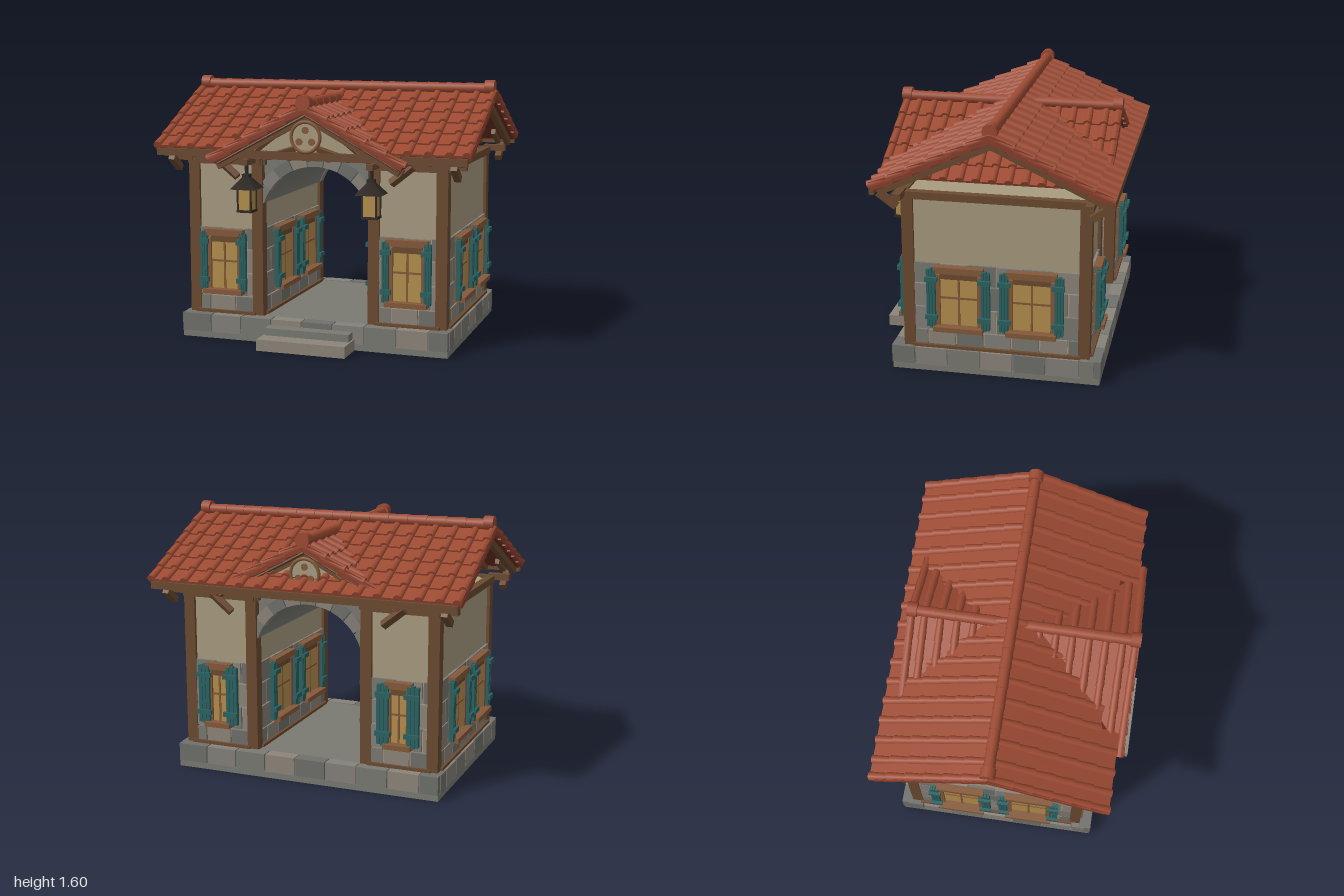
import * as THREE from 'three';
import { mergeGeometries } from 'three/addons/utils/BufferGeometryUtils.js';

const mat = (color, opts = {}) => new THREE.MeshStandardMaterial({ color, ...opts });
const tile = mat(0x9c4a32), tileDark = mat(0x8a3f2b), deckMat = mat(0x6b2f20), wood = mat(0x6b4a30), lightWood = mat(0x85593a);
const plaster = mat(0xa89b80), glass = mat(0xb48f4c), teal = mat(0x2b6262), iron = mat(0x2f2a26);
const stones = [mat(0x7a7a72), mat(0x85807a), mat(0x6f706b), mat(0x8c857a)];
const ZC = -0.055; // middle of the house in z

function add(parent, name, geo, material, x = 0, y = 0, z = 0) {
  const m = new THREE.Mesh(geo, material);
  m.name = name;
  m.position.set(x, y, z);
  parent.add(m);
  return m;
}
const box = (p, name, material, w, h, d, x, y, z) => add(p, name, new THREE.BoxGeometry(w, h, d), material, x, y, z);
function beam(p, name, a, b, w, material = wood) {
  const A = new THREE.Vector3(...a), B = new THREE.Vector3(...b), d = B.clone().sub(A);
  const m = box(p, name, material, w, w, d.length(), 0, 0, 0);
  m.position.copy(A).add(B).multiplyScalar(0.5);
  m.quaternion.setFromUnitVectors(new THREE.Vector3(0, 0, 1), d.normalize());
  return m;
}
function group(p, name, x = 0, y = 0, z = 0, ry = 0) {
  const g = new THREE.Group();
  g.name = name;
  g.position.set(x, y, z);
  g.rotation.y = ry;
  p.add(g);
  return g;
}

// Row of stone blocks with open joints, centred on x
function stoneRow(p, len, y0, y1, depth, z, size, shift) {
  let a = -len / 2, i = 0;
  while (a < len / 2 - 0.01) {
    let b = Math.min(len / 2, a + (i === 0 && shift ? size * 0.55 : size));
    if (len / 2 - b < size * 0.3) b = len / 2;
    box(p, 'stoneBlock', stones[(i * 3 + Math.round(y0 * 50)) % 4], b - a - 0.01, y1 - y0 - 0.008, depth, (a + b) / 2, (y0 + y1) / 2, z);
    a = b;
    i++;
  }
}

// Window with frame, glazing bars, lintel, sill and a pair of shutters
function windowUnit(p, x, w, lintelW, shutterX, shutterW) {
  const g = group(p, 'window', x);
  box(g, 'windowPane', glass, w, 0.3, 0.03, 0, 0.455, 0.015);
  for (const s of [-1, 1]) box(g, 'windowFrame', lightWood, 0.025, 0.34, 0.045, s * (w / 2 + 0.01), 0.46, 0.022);
  box(g, 'lintel', lightWood, lintelW, 0.04, 0.06, 0, 0.665, 0.03);
  box(g, 'topFrame', wood, w, 0.04, 0.04, 0, 0.625, 0.02);
  box(g, 'sill', lightWood, lintelW, 0.03, 0.085, 0, 0.295, 0.042);
  box(g, 'glazingBar', lightWood, 0.012, 0.3, 0.02, 0, 0.455, 0.025);
  box(g, 'glazingBar', lightWood, w, 0.012, 0.02, 0, 0.485, 0.025);
  for (const s of [-1, 1]) {
    const sh = group(g, 'shutter', s * shutterX, 0.485, 0.05);
    for (const k of [-1, 0, 1]) box(sh, 'shutterPlank', teal, shutterW / 3 - 0.003, k ? 0.365 : 0.38, 0.028, k * shutterW / 3, 0, 0);
    for (const y of [-0.115, 0.125]) box(sh, 'shutterBar', teal, shutterW + 0.02, 0.028, 0.02, -s * 0.005, y, 0.02);
  }
}

// Wall face: stone wainscot plus windows, facing local +z
function wallFace(p, name, len, x, z, ry, windows) {
  const g = group(p, name, x, 0, z, ry);
  [0.15, 0.26, 0.41, 0.56, 0.695].forEach((y, i, a) => i && stoneRow(g, len, a[i - 1], y, 0.03, 0, 0.17, i % 2));
  box(g, 'sillBeam', wood, len, 0.018, 0.05, 0, 0.159, 0.01);
  box(g, 'wallPlate', wood, len + 0.08, 0.045, 0.05, 0, 1.115, 0.01);
  windows.forEach(w => windowUnit(g, ...w));
}

// Tiled roof slope: ridge along x, running down toward local +z
function slope(p, name, pos, ry, angle, width, length, cols, rows, skip) {
  const outer = group(p, name, ...pos, ry), g = group(outer, 'slope');
  g.rotation.x = angle;
  box(g, 'roofDeck', deckMat, width - 0.04, 0.025, length, 0, -0.012, length / 2);
  const cw = width / cols, rl = length / rows, geos = [];
  for (let r = 0; r < rows; r++) for (let c = 0; c <= cols; c++) {
    const x = -width / 2 + c * cw, z = (r + 0.5) * rl;
    if (skip && skip(x, r)) continue;
    if (c < cols) {
      geos.push(new THREE.BoxGeometry(cw, 0.014, rl + 0.03).rotateX(-0.08).translate(x + cw / 2, 0.012, z + 0.005));
    }
    const inset = c === 0 ? 0.022 : c === cols ? -0.022 : 0;
    geos.push(new THREE.CylinderGeometry(0.027, 0.021, rl + 0.03, 8, 1, false, Math.PI / 2, Math.PI)
      .rotateX(Math.PI / 2 - 0.08).translate(x + inset, 0.014, z + 0.005));
  }
  add(g, 'roofTiles', mergeGeometries(geos), tile);
  for (const s of [-1, 1]) {
    // verge tiles and bargeboard
    for (let r = 0; r < rows; r++) {
      const v = box(g, 'vergeTile', tileDark, 0.022, 0.05, rl + 0.015, s * (width / 2 - 0.011), 0.006, (r + 0.5) * rl);
      v.rotation.x = -0.08;
    }
    box(g, 'bargeboard', wood, 0.035, 0.045, length, s * (width / 2 - 0.06), -0.042, length / 2);
  }
  // rafters showing under the eave
  for (let c = 1; c < cols; c++) box(g, 'rafter', wood, 0.028, 0.035, 0.2, -width / 2 + c * cw, -0.04, length - 0.09);
  return g;
}

// Overlapping ridge tiles along local x, with round end caps
function ridge(p, name, pos, ry, len, n, r) {
  const g = group(p, name, ...pos, ry), step = (len - 0.1) / n;
  for (let i = 0; i < n; i++)
    add(g, 'ridgeTile', new THREE.CylinderGeometry(r, r * 0.88, step + 0.01, 12).rotateZ(Math.PI / 2), tile, -len / 2 + 0.05 + (i + 0.5) * step);
  for (const s of [-1, 1])
    add(g, 'ridgeCap', new THREE.CylinderGeometry(0.045, 0.045, 0.06, 14).rotateZ(Math.PI / 2), tile, s * (len / 2 - 0.03), 0.008);
}

// Cross gable end: plaster triangle, timber frame and round ornament
function gableEnd(p, z, ry) {
  const g = group(p, 'gableEnd', 0, 0, z, ry), tri = new THREE.Shape();
  tri.moveTo(-0.49, 1.17).lineTo(0.49, 1.17).lineTo(0, 1.435);
  add(g, 'gableWall', new THREE.ExtrudeGeometry(tri, { depth: 0.02, bevelEnabled: false }), plaster, 0, 0, -0.02);
  for (const s of [-1, 1]) {
    beam(g, 'gableRafter', [s * 0.57, 1.12, 0.02], [0, 1.425, 0.02], 0.035);
    beam(g, 'gableStrut', [s * 0.33, 1.2, 0.01], [s * 0.2, 1.3, 0.01], 0.03, lightWood);
    beam(g, 'gableStrut', [s * 0.07, 1.22, 0.01], [s * 0.2, 1.18, 0.01], 0.03);
  }
  box(g, 'kingPost', wood, 0.035, 0.26, 0.035, 0, 1.3, 0);
  box(g, 'gableTie', wood, 1.16, 0.045, 0.035, 0, 1.175, 0.012);
  const disc = (name, r, m, x, y, zz) => add(g, name, new THREE.CylinderGeometry(r, r, 0.02, 24).rotateX(Math.PI / 2), m, x, y, zz);
  disc('ornamentDisc', 0.09, plaster, 0, 1.29, 0.022);
  add(g, 'ornamentRing', new THREE.TorusGeometry(0.09, 0.011, 8, 28), lightWood, 0, 1.29, 0.03);
  for (let i = 0; i < 3; i++) {
    const a = Math.PI / 2 + i * Math.PI * 2 / 3;
    disc('ornamentBoss', 0.021, lightWood, 0.046 * Math.cos(a), 1.285 + 0.046 * Math.sin(a), 0.028);
  }
}

function lantern(p, x) {
  const g = group(p, 'lantern', x, 0, 0.62);
  box(g, 'lanternGlass', glass, 0.08, 0.14, 0.08, 0, 0.9, 0);
  for (const a of [-1, 1]) for (const b of [-1, 1]) box(g, 'lanternBar', iron, 0.01, 0.15, 0.01, a * 0.042, 0.9, b * 0.042);
  box(g, 'lanternBase', iron, 0.098, 0.015, 0.098, 0, 0.827, 0);
  add(g, 'lanternRoof', new THREE.CylinderGeometry(0.025, 0.112, 0.075, 4).rotateY(Math.PI / 4), iron, 0, 1.0, 0);
  box(g, 'lanternFinial', iron, 0.045, 0.02, 0.045, 0, 1.042, 0);
  add(g, 'lanternStem', new THREE.CylinderGeometry(0.012, 0.012, 0.08, 8), iron, 0, 1.08, 0);
  box(g, 'lanternArm', wood, 0.04, 0.035, 0.17, 0, 1.125, -0.045);
}

export function createModel() {
  const root = new THREE.Group();
  root.name = 'gatehouse';

  // Plinth and steps
  const base = group(root, 'plinth', 0, 0, -0.0525);
  box(base, 'plinthCore', stones[0], 1.69, 0.145, 1.25, 0, 0.0725, 0);
  box(base, 'plinthFoot', stones[0], 1.71, 0.038, 1.265, 0, 0.019, 0);
  for (let i = 0; i < 4; i++) {
    const side = group(base, 'plinthEdge', 0, 0, 0, i * Math.PI / 2);
    stoneRow(side, i % 2 ? 1.2 : 1.72, 0.035, 0.154, 0.08, (i % 2 ? 0.86 : 0.6375) - 0.04, 0.2, i % 2);
  }
  box(root, 'lowerStep', stones[3], 0.56, 0.07, 0.22, 0, 0.035, 0.665);
  box(root, 'upperStep', stones[0], 0.54, 0.115, 0.12, 0, 0.0575, 0.605);

  // Two rooms either side of the passage
  const sideWindows = [-0.22, 0.22].map(x => [x, 0.23, 0.3, 0.165, 0.055]);
  for (const s of [-1, 1]) {
    const room = group(root, 'room');
    box(room, 'plasterWalls', plaster, 0.45, 0.98, 1.09, s * 0.585, 0.635, ZC);
    wallFace(room, 'outerWall', 1.02, s * 0.81, ZC, s * Math.PI / 2, sideWindows);
    wallFace(room, 'passageWall', 1.02, s * 0.36, ZC, -s * Math.PI / 2, sideWindows);
    wallFace(room, 'frontWall', 0.4, s * 0.59, 0.49, 0, [[0, 0.18, 0.26, 0.13, 0.045]]);
    wallFace(room, 'backWall', 0.4, s * 0.59, -0.6, Math.PI, [[0, 0.1, 0.17, 0.095, 0.075]]);
    for (const x of [0.375, 0.795]) for (const z of [0.475, -0.585])
      box(room, 'cornerPost', wood, 0.07, 0.98, 0.07, s * x, 0.635, z);
    // Eave braces and brackets
    for (const e of [-1, 1]) {
      const z = d => ZC + e * d;
      beam(room, 'eaveBrace', [s * 0.89, 1.06, z(0.57)], [s * 0.89, 1.14, z(0.68)], 0.04);
      box(room, 'plateEnd', wood, 0.14, 0.04, 0.05, s * 0.87, 1.13, z(0.56));
      beam(room, 'gableBrace', [s * 0.49, 1.02, z(0.59)], [s * 0.62, 1.125, z(0.59)], 0.04);
    }
    lantern(root, s * 0.395);
  }

  // Stone vault over the passage with voussoir arches at both ends
  const vault = group(root, 'vault'), a0 = 0.33, cy = 0.74, R = 0.36;
  const v = new THREE.Shape();
  v.moveTo(-0.36, 1.14).lineTo(-0.36, cy + R * Math.sin(a0));
  v.absarc(0, cy, R, Math.PI - a0, a0, true);
  v.lineTo(0.36, 1.14);
  add(vault, 'vaultBarrel', new THREE.ExtrudeGeometry(v, { depth: 1.04, bevelEnabled: false, curveSegments: 24 }), stones[0], 0, 0, ZC - 0.52);
  const n = 9, da = (Math.PI - 2 * a0) / n;
  for (let i = 0; i < n; i++) {
    const b = a0 + i * da + 0.008, c = a0 + (i + 1) * da - 0.008, w = new THREE.Shape();
    w.absarc(0, cy, R - 0.005, b, c, false);
    w.absarc(0, cy, R + 0.065, c, b, true);
    const geo = new THREE.ExtrudeGeometry(w, { depth: 0.06, bevelEnabled: false, curveSegments: 4 });
    for (const z of [ZC + 0.49, ZC - 0.55]) add(vault, 'archStone', geo, stones[(i * 3) % 4], 0, 0, z);
  }

  // Main roof, open at the sides
  const roof = group(root, 'roof');
  const underGable = (x, r) => r === 5 && Math.abs(x + 0.06) < 0.45;
  slope(roof, 'mainFrontSlope', [0, 1.52, ZC], 0, 0.44, 1.99, 0.757, 16, 6, underGable);
  slope(roof, 'mainBackSlope', [0, 1.52, ZC], Math.PI, 0.44, 1.99, 0.757, 16, 6);
  for (const e of [-1, 1]) box(roof, 'fascia', wood, 1.95, 0.045, 0.03, 0, 1.172, ZC + e * 0.695);
  ridge(roof, 'mainRidge', [0, 1.553, ZC], 0, 1.96, 15, 0.036);

  // Cross roof with gables front and back
  for (const s of [-1, 1])
    slope(roof, 'crossSlope', [0, 1.455, 0.008], s * Math.PI / 2, 0.495, 1.39, 0.675, 14, 5);
  ridge(roof, 'crossRidge', [0, 1.487, 0.01], Math.PI / 2, 1.4, 11, 0.035);
  gableEnd(roof, 0.63, 0);
  gableEnd(roof, -0.62, Math.PI);
  return root;
}
